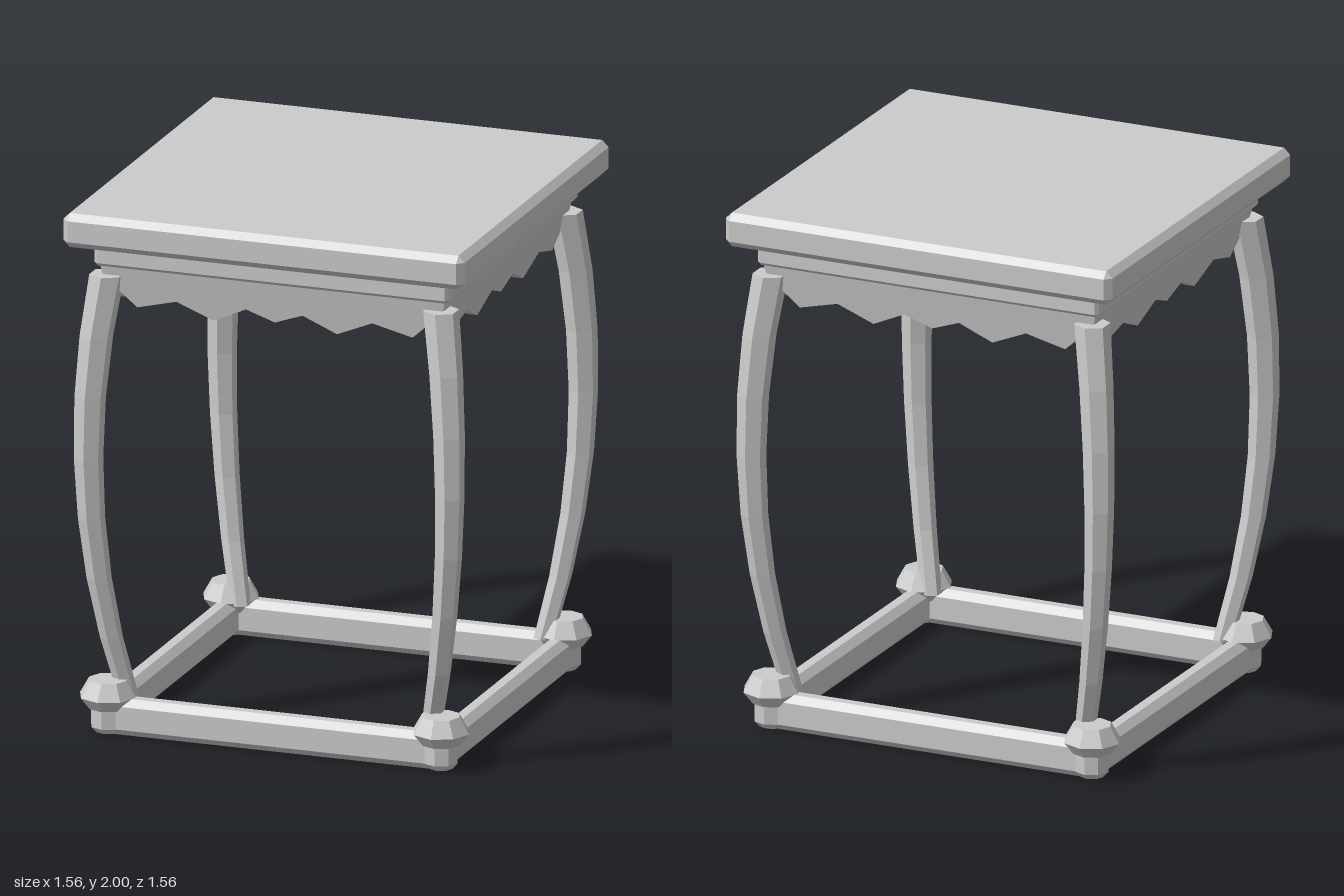
import * as THREE from 'three';
import { ConvexGeometry } from 'three/addons/geometries/ConvexGeometry.js';

const material = new THREE.MeshStandardMaterial({ color: 0xcccccc, flatShading: true });

function addMesh(parent, name, geometry) {
  const mesh = new THREE.Mesh(geometry, material);
  mesh.name = name;
  parent.add(mesh);
  return mesh;
}

// Box with every edge cut at 45 degrees
function chamferBox(w, h, d, c) {
  const points = [];
  for (const sx of [-1, 1]) for (const sy of [-1, 1]) for (const sz of [-1, 1]) {
    for (let axis = 0; axis < 3; axis++) {
      const inset = [c, c, c];
      inset[axis] = 0;
      points.push(new THREE.Vector3(
        sx * (w / 2 - inset[0]), sy * (h / 2 - inset[1]), sz * (d / 2 - inset[2])));
    }
  }
  return new ConvexGeometry(points);
}

// Six-sided leg that bows outward along the diagonal and thickens upward
function legGeometry(sx, sz) {
  const bottom = 0.13, top = 1.75;
  const geometry = new THREE.CylinderGeometry(1, 1, top - bottom, 6, 7);
  geometry.translate(0, (top + bottom) / 2, 0);
  const p = geometry.attributes.position;
  for (let i = 0; i < p.count; i++) {
    const y = p.getY(i);
    const radius = 0.036 + 0.0175 * y;
    const centre = 0.702 - 0.122 * (y - 1.09) ** 2;
    p.setXYZ(i, p.getX(i) * radius + sx * centre, y, p.getZ(i) * radius + sz * centre);
  }
  geometry.computeVertexNormals();
  return geometry;
}

// Zigzag apron board, leaning inward toward its lower edge
function apronGeometry() {
  const half = [[0.672, 1.8], [0.655, 1.74], [0.59, 1.68], [0.535, 1.63],
    [0.38, 1.67], [0.24, 1.61], [0.11, 1.67]];
  const outline = [...half, [0, 1.63], ...half.map(([x, y]) => [-x, y]).reverse()];
  const shape = new THREE.Shape(outline.map(([x, y]) => new THREE.Vector2(x, y)));
  const geometry = new THREE.ExtrudeGeometry(shape, { depth: 0.04, bevelEnabled: false });
  const p = geometry.attributes.position;
  for (let i = 0; i < p.count; i++) {
    p.setZ(i, p.getZ(i) + 0.632 - 0.18 * (1.8 - p.getY(i)));
  }
  geometry.computeVertexNormals();
  return geometry;
}

function lathe(profile) {
  return new THREE.LatheGeometry(profile.map(([r, y]) => new THREE.Vector2(r, y)), 8);
}

export function createModel() {
  const model = new THREE.Group();
  model.name = 'squareStool';

  // Seat and the mouldings below it
  addMesh(model, 'seat', chamferBox(1.56, 0.13, 1.56, 0.025)).position.y = 1.935;
  addMesh(model, 'seatNeck', new THREE.BoxGeometry(1.33, 0.04, 1.33)).position.y = 1.865;
  addMesh(model, 'seatMoulding', chamferBox(1.375, 0.08, 1.375, 0.012)).position.y = 1.825;

  // One apron and one base rail on each side
  const apron = apronGeometry();
  const rail = chamferBox(1.385, 0.14, 0.09, 0.026);
  for (let i = 0; i < 4; i++) {
    const side = new THREE.Group();
    side.name = 'side' + (i + 1);
    side.rotation.y = i * Math.PI / 2;
    addMesh(side, 'apron', apron);
    addMesh(side, 'baseRail', rail).position.set(0, 0.07, 0.6475);
    model.add(side);
  }

  // Legs with an octagonal collar and foot at each corner
  const collar = lathe([[0, 0.095], [0.073, 0.095], [0.108, 0.14], [0.073, 0.202], [0, 0.202]]);
  const foot = lathe([[0, 0.003], [0.045, 0.003], [0.065, 0.025], [0.065, 0.1], [0, 0.1]]);
  for (const sx of [-1, 1]) for (const sz of [-1, 1]) {
    const corner = new THREE.Group();
    corner.name = (sz > 0 ? 'front' : 'back') + (sx > 0 ? 'Left' : 'Right') + 'Corner';
    addMesh(corner, 'leg', legGeometry(sx, sz));
    addMesh(corner, 'collar', collar).position.set(sx * 0.647, 0, sz * 0.647);
    addMesh(corner, 'foot', foot).position.set(sx * 0.647, 0, sz * 0.647);
    model.add(corner);
  }
  return model;
}
